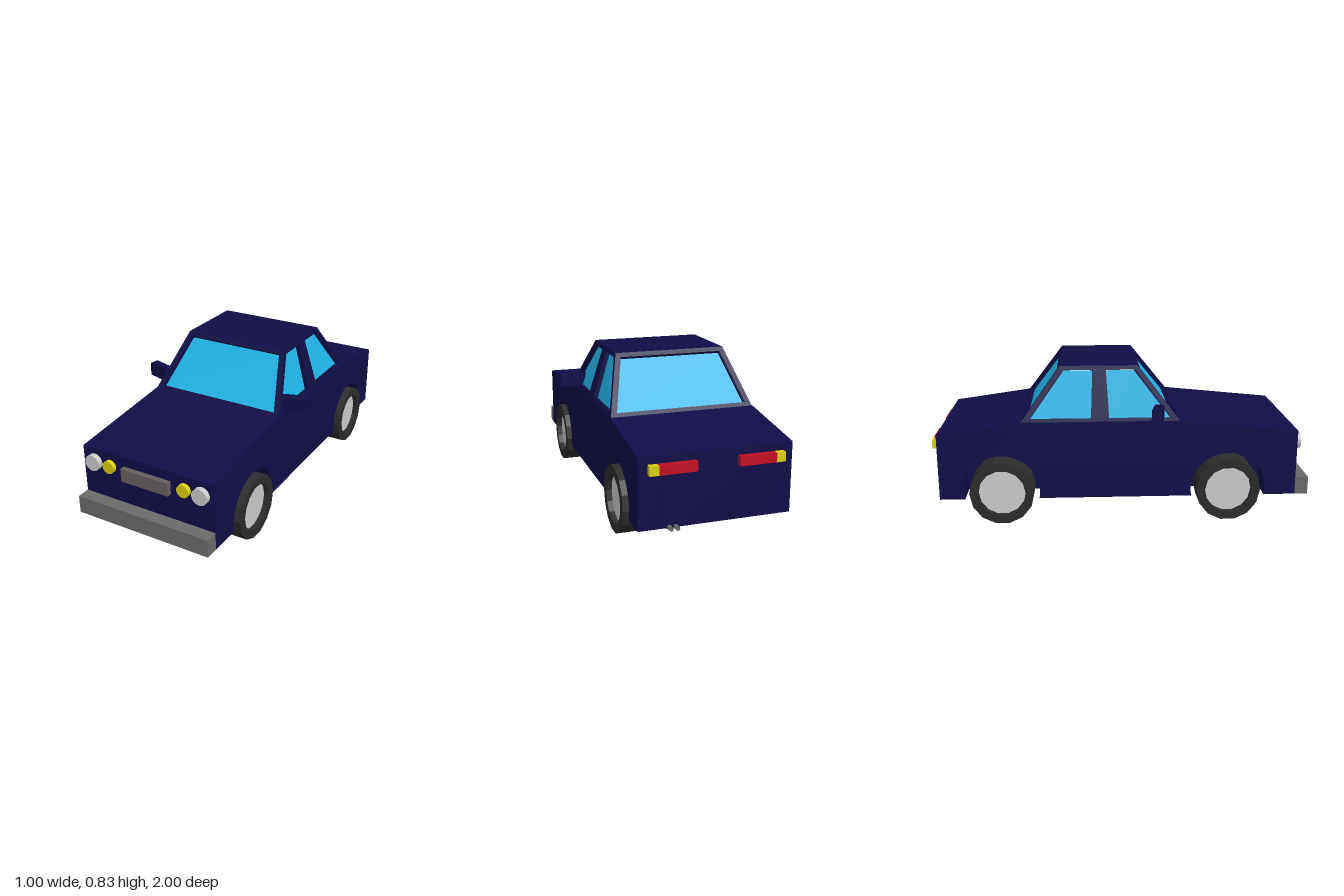
import * as THREE from 'three';

const mat = (color) => new THREE.MeshStandardMaterial({ color, flatShading: true });
const paint = mat(0x100d46), glass = mat(0x1fb4e8), rubber = mat(0x2b2b2b), floorMat = mat(0x303030);
const bumperGrey = mat(0x6a6a6a), grilleGrey = mat(0x665f5f), pale = mat(0xcccccc);
const amber = mat(0xd8d010), red = mat(0xc01020);

const HALF = 0.383, WELL = 0.24, BASE = 0.13;         // body half width, wheel-well depth, underside
const BELT = 0.548, ROOF = 0.828;                     // cabin bottom and top
const FRONT = 0.93, REAR = -0.97;
const AXLES = [-0.64, 0.565], WHEEL_Y = 0.167, ARCH = 0.2;

function add(parent, name, geometry, material, x = 0, y = 0, z = 0) {
  const mesh = new THREE.Mesh(geometry, material);
  mesh.name = name;
  mesh.position.set(x, y, z);
  parent.add(mesh);
  return mesh;
}

const shapeOf = (pts) => new THREE.Shape(pts.map(([x, y]) => new THREE.Vector2(x, y)));

// Side profile of the lower body, in (z, y), extruded across x
function bodySlab(x0, x1, arches) {
  const s = shapeOf([[FRONT, BASE], [FRONT, 0.485], [0.3, BELT], [-0.53, BELT], [REAR, 0.485], [REAR, BASE]]);
  if (arches) {
    const a = Math.asin((WHEEL_Y - BASE) / ARCH);
    for (const z of AXLES) s.absarc(z, WHEEL_Y, ARCH, Math.PI + a, -a, true);
  }
  return new THREE.ExtrudeGeometry(s, { depth: x1 - x0, bevelEnabled: false, curveSegments: 14 })
    .rotateY(-Math.PI / 2).translate(x1, 0, 0);
}

// Leaning cabin wall with recessed windows; points are (sideways, height)
function cabinWall(parent, name, outline, windows, azimuth, baseDist, topDist) {
  const rise = ROOF - BELT, lean = baseDist - topDist;
  const stretch = Math.hypot(rise, lean) / rise;
  const local = (pts) => shapeOf(pts.map(([u, y]) => [u, (y - BELT) * stretch]));
  const wall = new THREE.Group();
  wall.name = name;
  const frame = local(outline);
  windows.forEach((w) => frame.holes.push(local(w)));
  add(wall, name + 'Frame', new THREE.ExtrudeGeometry(frame, { depth: 0.03, bevelEnabled: false }), paint, 0, 0, -0.03);
  windows.forEach((w) => add(wall, name + 'Glass', new THREE.ShapeGeometry(local(w)), glass, 0, 0, -0.024));
  wall.rotation.set(-Math.atan2(lean, rise), azimuth, 0, 'YXZ');
  wall.position.set(Math.sin(azimuth) * baseDist, BELT, Math.cos(azimuth) * baseDist);
  parent.add(wall);
}

function makeWheel(side) {
  const wheel = new THREE.Group();
  wheel.name = 'wheel';
  const R = WHEEL_Y / Math.cos(Math.PI / 14);
  const profile = [[0, 0], [R, 0], [R, 0.155], [0.125, 0.155], [0.125, 0.115]].map((p) => new THREE.Vector2(...p));
  add(wheel, 'tyre', new THREE.LatheGeometry(profile, 14), rubber);
  add(wheel, 'hub', new THREE.CylinderGeometry(0.125, 0.125, 0.02, 14), pale, 0, 0.117, 0);
  wheel.rotation.z = -side * Math.PI / 2;
  return wheel;
}

export function createModel() {
  const car = new THREE.Group();
  car.name = 'car';

  // Lower body: solid middle, flanks with wheel arches
  add(car, 'bodyCentre', bodySlab(-WELL, WELL, false), paint);
  add(car, 'leftFlank', bodySlab(WELL, HALF, true), paint);
  add(car, 'rightFlank', bodySlab(-HALF, -WELL, true), paint);

  // Underside, notched around the wheels
  const edge = [[HALF, REAR]];
  for (const z of AXLES) {
    const r = 0.197;
    edge.push([HALF, z - r], [WELL, z - r], [WELL, z + r], [HALF, z + r]);
  }
  edge.push([HALF, FRONT]);
  const outline = [...edge, ...edge.map(([x, z]) => [-x, z]).reverse()];
  add(car, 'underside', new THREE.ShapeGeometry(shapeOf(outline)).rotateX(Math.PI / 2), floorMat, 0, BASE - 0.002, 0);

  // Cabin
  const cabin = new THREE.Group();
  cabin.name = 'cabin';
  car.add(cabin);
  const endWall = [[-0.38, BELT], [0.38, BELT], [0.295, ROOF], [-0.295, ROOF]];
  const endWindow = [[-0.345, 0.566], [0.345, 0.566], [0.272, 0.808], [-0.272, 0.808]];
  cabinWall(cabin, 'windscreen', endWall, [endWindow], 0, 0.3, 0.08);
  cabinWall(cabin, 'rearWindow', endWall, [endWindow], Math.PI, 0.53, 0.325);
  const sideWall = [[0.3, BELT], [-0.53, BELT], [-0.325, ROOF], [0.08, ROOF]];
  const sideWindows = [
    [[0.255, 0.566], [-0.07, 0.566], [-0.085, 0.806], [0.07, 0.806]],
    [[-0.165, 0.566], [-0.49, 0.566], [-0.315, 0.806], [-0.155, 0.806]],
  ];
  for (const s of [1, -1]) {
    const flip = (pts) => pts.map(([z, y]) => [-s * z, y]);
    cabinWall(cabin, s > 0 ? 'leftSide' : 'rightSide', flip(sideWall), sideWindows.map(flip), s * Math.PI / 2, 0.38, 0.295);
  }
  add(cabin, 'roof', new THREE.BoxGeometry(0.59, 0.02, 0.405), paint, 0, ROOF - 0.01, -0.1225);

  // Front end
  add(car, 'frontBumper', new THREE.BoxGeometry(2 * HALF, 0.095, 0.07), bumperGrey, 0, 0.1775, 0.965);
  add(car, 'grille', new THREE.BoxGeometry(0.274, 0.071, 0.03), grilleGrey, 0, 0.398, 0.942);

  // Paired parts
  for (const s of [1, -1]) {
    const lamp = (r, d) => new THREE.CylinderGeometry(r, r, d, 32).rotateX(Math.PI / 2);
    add(car, 'headlight', lamp(0.043, 0.03), pale, s * 0.313, 0.413, 0.942);
    add(car, 'frontIndicator', lamp(0.034, 0.025), amber, s * 0.218, 0.413, 0.94);
    add(car, 'tailLight', new THREE.BoxGeometry(0.185, 0.047, 0.04), red, s * 0.1975, 0.423, -0.98);
    add(car, 'rearIndicator', new THREE.BoxGeometry(0.045, 0.047, 0.04), amber, s * 0.3125, 0.423, -0.98);

    const mirror = add(car, 'wingMirror', new THREE.BoxGeometry(0.16, 0.074, 0.05), paint, s * 0.414, 0.592, 0.182);
    mirror.rotation.set(0, s * 0.2, s * 0.06);

    for (const z of AXLES) {
      const wheel = makeWheel(s);
      wheel.position.set(s * 0.25, WHEEL_Y, z);
      car.add(wheel);
    }
  }

  // Exhaust: oval silencer with twin tips
  const silencer = add(car, 'silencer', new THREE.CylinderGeometry(1, 1, 0.075, 20).rotateX(Math.PI / 2), bumperGrey, 0.215, 0.135, -0.918);
  silencer.scale.set(0.038, 0.02, 1);
  for (const dx of [-0.016, 0.016]) {
    const tip = new THREE.CylinderGeometry(0.011, 0.011, 0.08, 12, 1, true).rotateX(Math.PI / 2);
    const pipe = add(car, 'exhaustTip', tip, bumperGrey.clone(), 0.215 + dx, 0.134, -0.96);
    pipe.material.side = THREE.DoubleSide;
  }
  return car;
}
